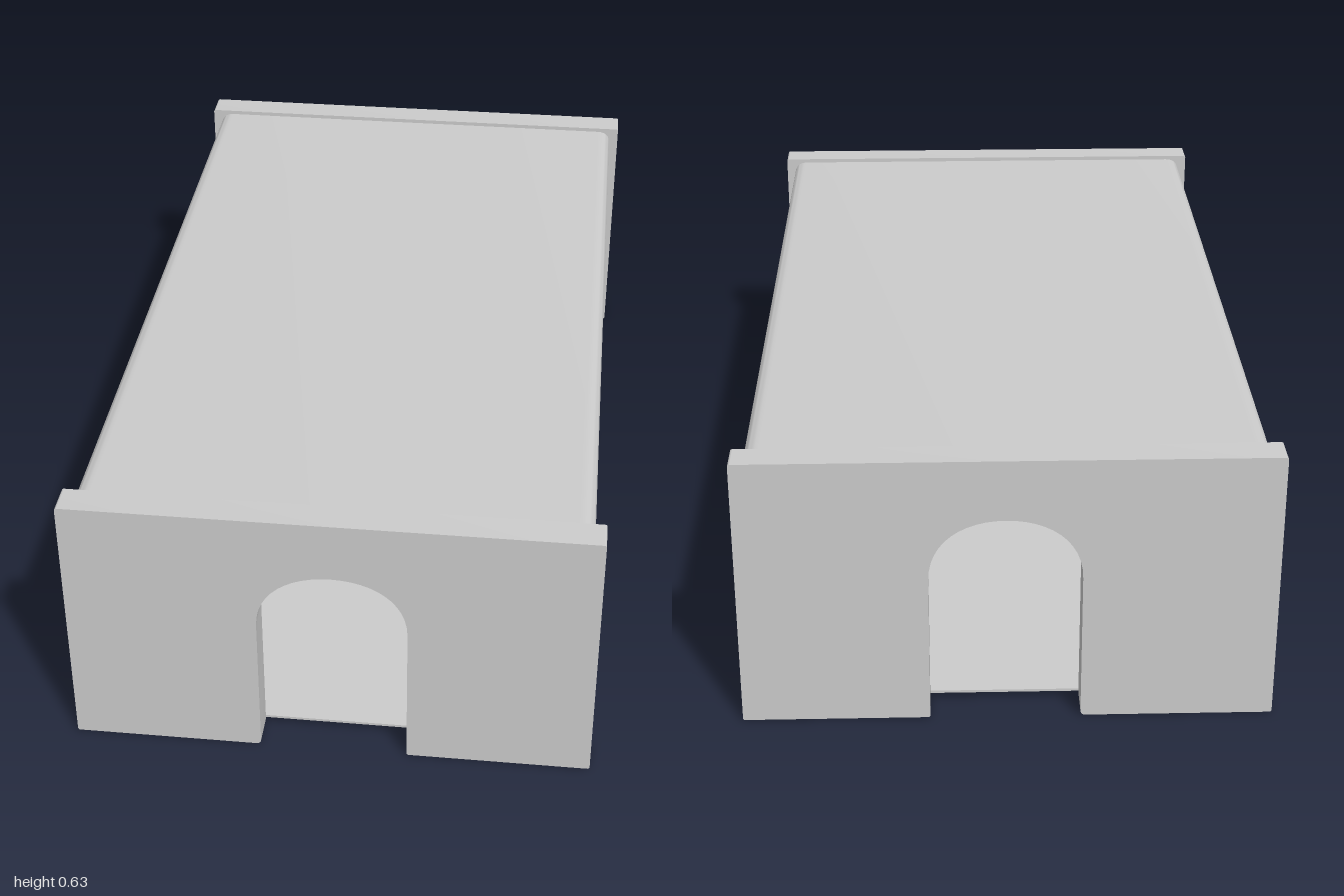
import * as THREE from 'three';
import { toCreasedNormals } from 'three/addons/utils/BufferGeometryUtils.js';

const material = new THREE.MeshStandardMaterial({ color: 0xcccccc });
const HALF_X = 0.562, HALF_Z = 0.928, BASE = 0.015, EAVE = 0.59, TOP = 0.625, WALL = 0.05;

function part(name, geometry, parent) {
  const mesh = new THREE.Mesh(toCreasedNormals(geometry, 0.6), material);
  mesh.name = name;
  parent.add(mesh);
  return mesh;
}

function rectPath(x0, y0, x1, y1, PathType = THREE.Path) {
  return new PathType().moveTo(x0, y0).lineTo(x1, y0).lineTo(x1, y1).lineTo(x0, y1).closePath();
}

// End wall with an arched doorway cut up from the ground
function endWallGeometry() {
  const w = 0.585, h = 0.635, r = 0.006, l = -0.16, d = 0.172, spring = 0.35, crown = 0.494;
  const mid = (l + d) / 2, f = 0.012;
  const s = new THREE.Shape();
  s.moveTo(-w + r, 0).lineTo(l - f, 0).quadraticCurveTo(l, 0, l, f).lineTo(l, spring);
  s.bezierCurveTo(l, spring + 0.095, mid - 0.09, crown, mid, crown);
  s.bezierCurveTo(mid + 0.09, crown, d, spring + 0.095, d, spring);
  s.lineTo(d, r).quadraticCurveTo(d, 0, d + r, 0).lineTo(w - r, 0);
  s.quadraticCurveTo(w, 0, w, r).lineTo(w, h - r).quadraticCurveTo(w, h, w - r, h);
  s.lineTo(-w + r, h).quadraticCurveTo(-w, h, -w, h - r).lineTo(-w, r).quadraticCurveTo(-w, 0, -w + r, 0);
  return new THREE.ExtrudeGeometry(s, { depth: 0.072, bevelEnabled: false, curveSegments: 12 });
}

// Side wall drawn in z and y, with three barred windows cut through
function sideWallGeometry() {
  const s = rectPath(-HALF_Z, BASE, HALF_Z, EAVE, THREE.Shape);
  for (const c of [-0.515, 0.004, 0.522]) {
    s.holes.push(
      rectPath(c - 0.175, 0.173, c + 0.175, 0.256),
      rectPath(c - 0.175, 0.262, c - 0.005, 0.325),
      rectPath(c + 0.005, 0.262, c + 0.175, 0.325)
    );
  }
  const g = new THREE.ExtrudeGeometry(s, { depth: WALL, bevelEnabled: false });
  return g.rotateY(-Math.PI / 2); // shape x becomes z, depth runs to -x
}

// Roof slab with rounded eaves and rounded inner corners
function roofGeometry() {
  const r = TOP - EAVE, inner = HALF_X - WALL, t = 0.02;
  const s = new THREE.Shape();
  s.moveTo(HALF_X, EAVE).quadraticCurveTo(HALF_X, TOP, HALF_X - r, TOP);
  s.lineTo(-HALF_X + r, TOP).quadraticCurveTo(-HALF_X, TOP, -HALF_X, EAVE);
  s.lineTo(-inner, EAVE).quadraticCurveTo(-inner, TOP - t, -inner + 0.015, TOP - t);
  s.lineTo(inner - 0.015, TOP - t).quadraticCurveTo(inner, TOP - t, inner, EAVE).closePath();
  const g = new THREE.ExtrudeGeometry(s, { depth: HALF_Z * 2, bevelEnabled: false, curveSegments: 8 });
  return g.translate(0, 0, -HALF_Z);
}

export function createModel() {
  const group = new THREE.Group();
  group.name = 'shelter';

  part('frontWall', endWallGeometry(), group).position.z = 0.928;
  part('backWall', endWallGeometry(), group).position.z = -1;
  part('leftWall', sideWallGeometry(), group).position.x = HALF_X;
  part('rightWall', sideWallGeometry(), group).position.x = -HALF_X + WALL;
  part('roof', roofGeometry(), group);

  // Thin floor between the side walls
  const floor = new THREE.BoxGeometry((HALF_X - WALL) * 2, 0.006, HALF_Z * 2);
  part('floor', floor, group).position.y = BASE + 0.003;

  return group;
}
